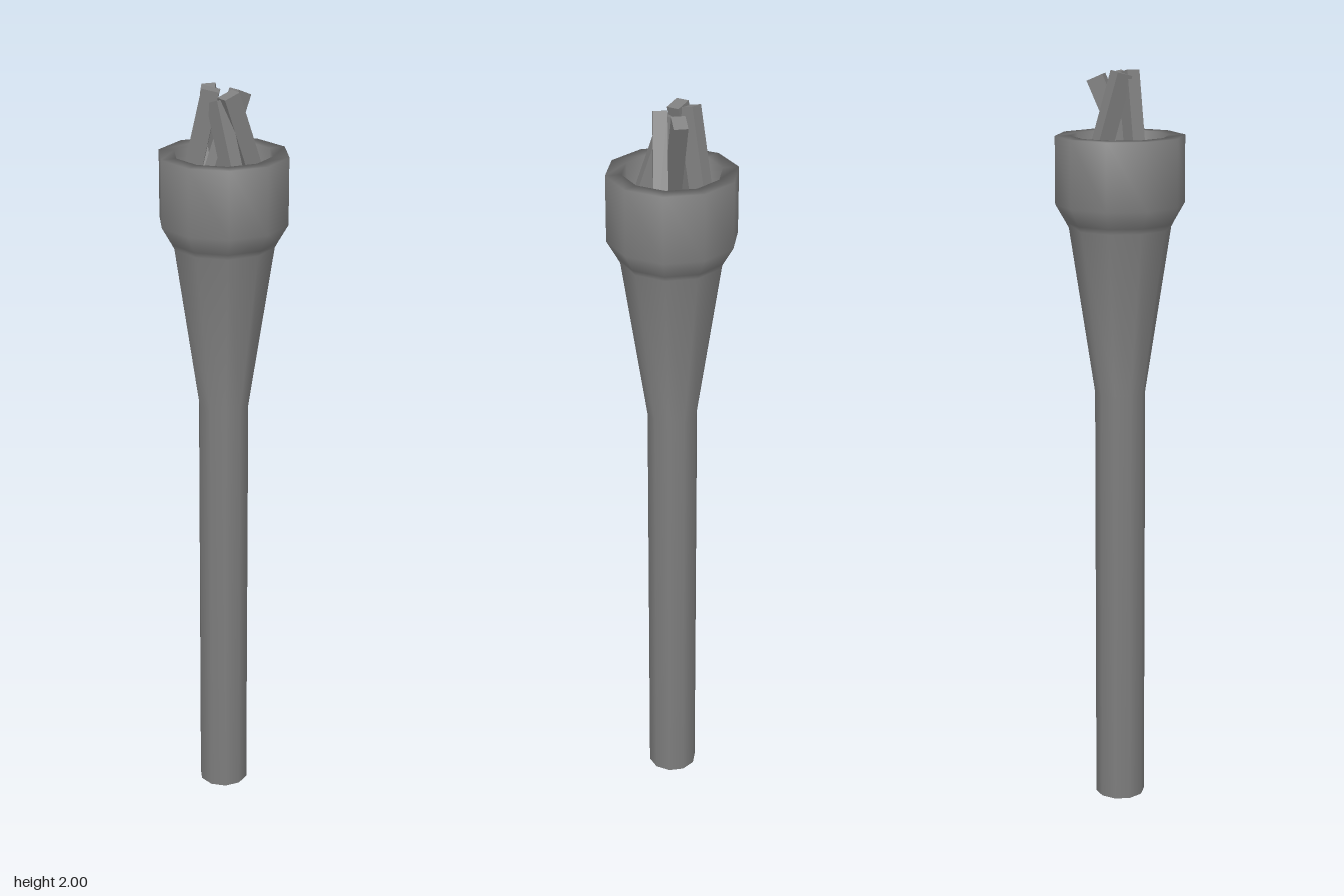
import * as THREE from 'three';

export function createModel() {
  const model = new THREE.Group();
  const material = new THREE.MeshStandardMaterial({ color: 0x808080 });

  // Ten-sided handle, flared neck and hollow cup as one turned profile
  const profile = [
    [0, 0], [0.067, 0], [0.067, 1.15], [0.134, 1.59], [0.142, 1.605],
    [0.169, 1.652], [0.169, 1.828], [0.128, 1.828], [0.124, 1.65], [0, 1.635],
  ].map(([r, y]) => new THREE.Vector2(r, y));
  const body = new THREE.Mesh(new THREE.LatheGeometry(profile, 10, Math.PI / 2), material);
  body.name = 'handleAndCup';
  model.add(body);

  // Sticks leaning across the cup: [base, tip, twist about own axis]
  const sticks = new THREE.Group();
  sticks.name = 'sticks';
  const ends = [
    [[0.112, 1.64, 0.022], [0.0, 1.965, 0.022], 0],
    [[0.048, 1.64, -0.11], [0.03, 1.983, 0.01], 0],
    [[-0.007, 1.64, 0.086], [-0.007, 1.976, -0.062], 0],
    [[-0.086, 1.64, 0.07], [-0.018, 1.993, 0.026], 0.2],
    [[-0.08, 1.64, -0.078], [-0.045, 1.99, 0.013], 0.4],
  ];
  ends.forEach(([a, b, twist], i) => {
    const base = new THREE.Vector3(...a);
    const tip = new THREE.Vector3(...b);
    const d = tip.clone().sub(base);
    const stick = new THREE.Mesh(new THREE.BoxGeometry(0.036, d.length(), 0.045), material);
    stick.name = `stick${i + 1}`;
    stick.position.copy(base).add(tip).multiplyScalar(0.5);
    // Turn to the heading, tilt along it, then twist
    stick.rotation.set(Math.atan2(Math.hypot(d.x, d.z), d.y), Math.atan2(d.x, d.z), 0, 'YXZ');
    stick.rotateY(twist);
    sticks.add(stick);
  });
  model.add(sticks);

  return model;
}
